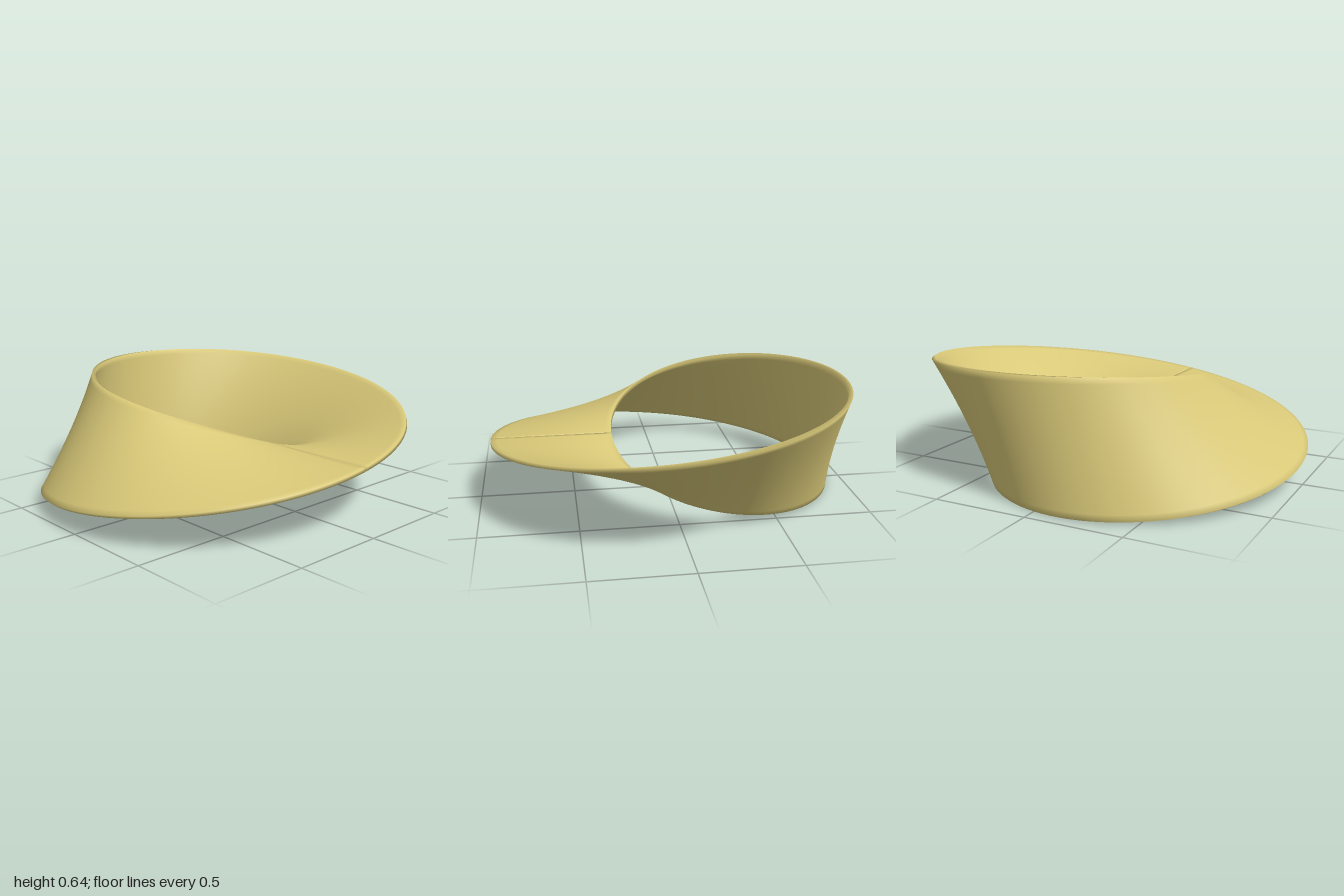
import * as THREE from 'three';
import { mergeVertices } from 'three/addons/utils/BufferGeometryUtils.js';

const RADIUS = 0.761;      // centre line of the band
const HALF_WIDTH = 0.319;
const THICKNESS = 0.02;
const CENTRE = new THREE.Vector3(-0.149, 0.32, 0);

// Bend a long flat bar (x = width, y = thickness, z = angle) into a loop with a half twist
function twistedLoop() {
  let geometry = new THREE.BoxGeometry(HALF_WIDTH * 2, THICKNESS, Math.PI * 2, 20, 1, 220);
  geometry.deleteAttribute('uv');
  geometry.deleteAttribute('normal');
  geometry = mergeVertices(geometry); // shared corners give softly rounded rims and ends

  const p = geometry.attributes.position;
  for (let i = 0; i < p.count; i++) {
    const across = p.getX(i);
    const out = p.getY(i);
    const angle = p.getZ(i) + Math.PI;
    const c = Math.cos(angle / 2);
    const s = Math.sin(angle / 2);
    const r = RADIUS + across * c + out * s;
    const y = out * c - across * s;
    p.setXYZ(i, CENTRE.x + r * Math.cos(angle), CENTRE.y + y, CENTRE.z + r * Math.sin(angle));
  }
  geometry.computeVertexNormals();
  return geometry;
}

export function createModel() {
  const group = new THREE.Group();
  group.name = 'twistedRing';

  const gold = new THREE.MeshStandardMaterial({ color: 0xd8c878 });
  gold.name = 'pale gold';

  // Single-sided band whose two ends meet at a fine seam on the +x side
  const band = new THREE.Mesh(twistedLoop(), gold);
  band.name = 'band';
  group.add(band);
  return group;
}
